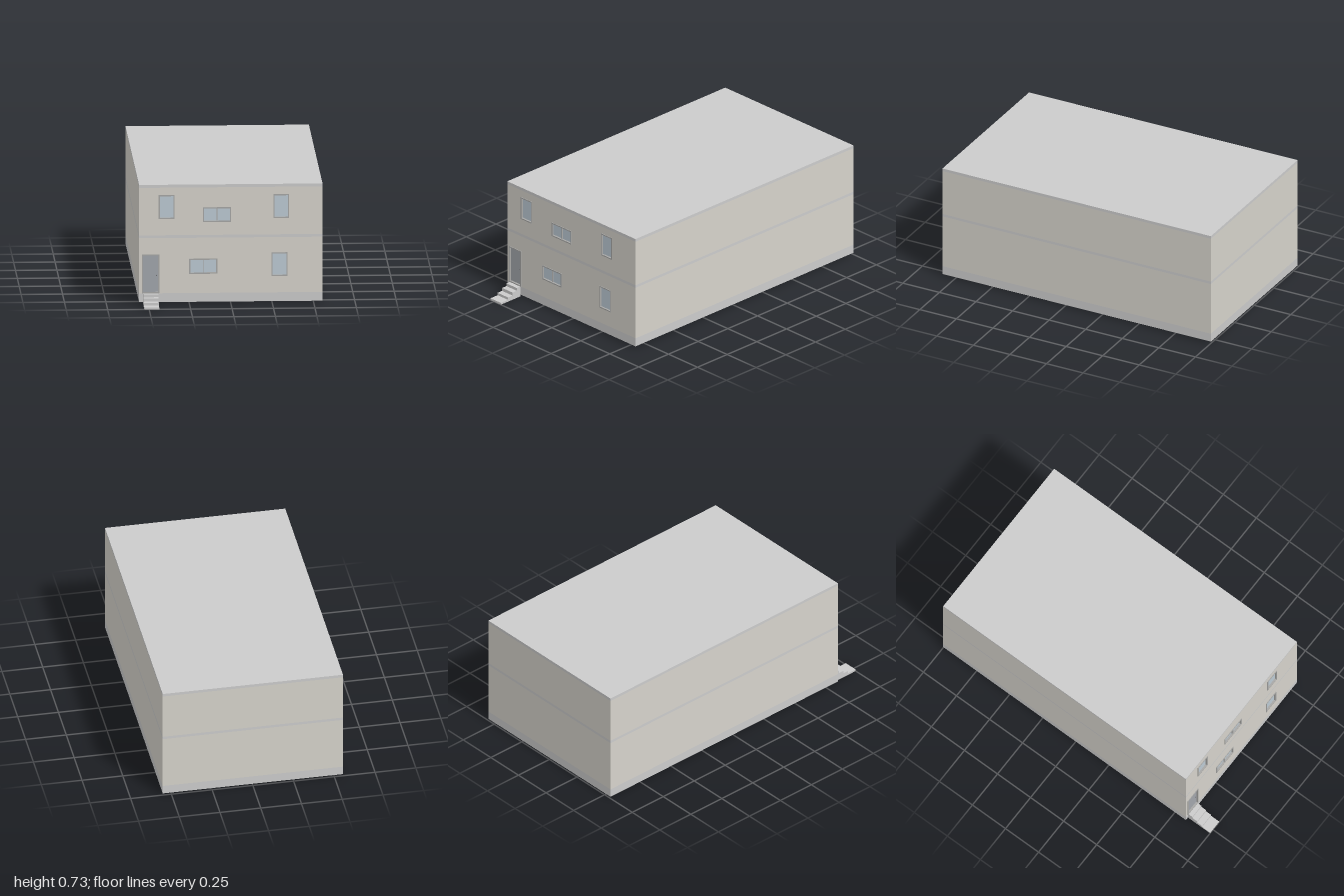
import * as THREE from 'three';

const mat = (color) => new THREE.MeshStandardMaterial({ color });
const wallMat = mat(0xd6d3cb), bandMat = mat(0xcccccc), frameMat = mat(0xa8a8a6);
const glassMat = mat(0xbccad4), doorMat = mat(0xa2a6ac), knobMat = mat(0x77797c);

const W = 0.553, BACK = -1, FRONT = 0.835, RECESS = 0.02;

// Openings in the front wall: x0, x1, y0, y1
const windows = [
  { name: 'upperRightWindow', r: [-0.435, -0.339, 0.523, 0.669] },
  { name: 'upperLeftWindow', r: [0.257, 0.352, 0.523, 0.669] },
  { name: 'upperSlidingWindow', r: [-0.168, 0.001, 0.502, 0.592], mullion: 0.007 },
  { name: 'lowerSlidingWindow', r: [-0.251, -0.082, 0.184, 0.277], mullion: 0.004 },
  { name: 'lowerLeftWindow', r: [0.245, 0.343, 0.167, 0.312] },
];
const door = [-0.536, -0.431, 0.067, 0.305];

function trace(path, [x0, x1, y0, y1]) {
  path.moveTo(x0, y0).lineTo(x1, y0).lineTo(x1, y1).lineTo(x0, y1).closePath();
  return path;
}

// Rectangular slab with rectangular holes, spanning z0 to z1
function slab(name, rect, holes, z0, z1, material) {
  const shape = trace(new THREE.Shape(), rect);
  for (const h of holes) shape.holes.push(trace(new THREE.Path(), h));
  const geo = new THREE.ExtrudeGeometry(shape, { depth: z1 - z0, bevelEnabled: false });
  geo.translate(0, 0, z0);
  const mesh = new THREE.Mesh(geo, material);
  mesh.name = name;
  return mesh;
}

const inset = ([x0, x1, y0, y1], d) => [x0 + d, x1 - d, y0 + d, y1 - d];

// Frame standing slightly proud of the wall with a recessed panel
function framed(name, r, panelName, panelMat, mullion) {
  const g = new THREE.Group();
  g.name = name;
  const inner = inset(r, 0.007);
  g.add(slab('frame', r, [inner], FRONT - RECESS, FRONT + 0.004, frameMat));
  g.add(slab(panelName, inner, [], FRONT - RECESS, FRONT - 0.008, panelMat));
  if (mullion) {
    const cx = (r[0] + r[1]) / 2;
    g.add(slab('mullion', [cx - mullion / 2, cx + mullion / 2, inner[2], inner[3]], [],
      FRONT - RECESS, FRONT, frameMat));
  }
  return g;
}

export function createModel() {
  const model = new THREE.Group();
  model.name = 'house';

  // Two storeys, each with a pierced front wall
  const openings = [...windows.map((w) => w.r), door];
  for (const [name, y0, y1] of [['lowerStorey', 0.066, 0.405], ['upperStorey', 0.422, 0.714]]) {
    const rect = [-W, W, y0, y1];
    const holes = openings.filter((o) => o[2] > y0 && o[3] < y1).map((o) => inset(o, 0.002));
    model.add(slab(name + 'Body', rect, [], BACK, FRONT - RECESS, wallMat));
    model.add(slab(name + 'Front', rect, holes, FRONT - RECESS, FRONT, wallMat));
  }

  // Foundation, floor and roof slabs showing as bands
  for (const [name, y0, y1] of [['foundation', 0.012, 0.066], ['floorSlab', 0.405, 0.422], ['roofSlab', 0.714, 0.732]])
    model.add(slab(name, [-W, W, y0, y1], [], BACK, FRONT, bandMat));

  // Windows and door
  for (const w of windows) model.add(framed(w.name, w.r, 'glass', glassMat, w.mullion));
  const frontDoor = framed('frontDoor', door, 'doorPanel', doorMat);
  const knob = new THREE.Mesh(new THREE.SphereGeometry(0.004, 12, 8), knobMat);
  knob.name = 'doorKnob';
  knob.position.set(-0.448, 0.175, FRONT - 0.006);
  frontDoor.add(knob);
  model.add(frontDoor);

  // Entrance steps: stepped side profile extruded across the width
  const steps = new THREE.Shape();
  steps.moveTo(FRONT, 0);
  steps.lineTo(1, 0);
  for (const [z0, z1, y] of [[0.94, 1, 0.012], [0.902, 0.94, 0.028], [0.866, 0.902, 0.048], [FRONT, 0.866, 0.066]])
    steps.lineTo(z1, y).lineTo(z0, y);
  steps.closePath();
  const stepGeo = new THREE.ExtrudeGeometry(steps, { depth: 0.09, bevelEnabled: false });
  stepGeo.rotateY(-Math.PI / 2);
  const stairs = new THREE.Mesh(stepGeo, bandMat);
  stairs.name = 'entranceSteps';
  stairs.position.x = -0.439;
  model.add(stairs);

  return model;
}
